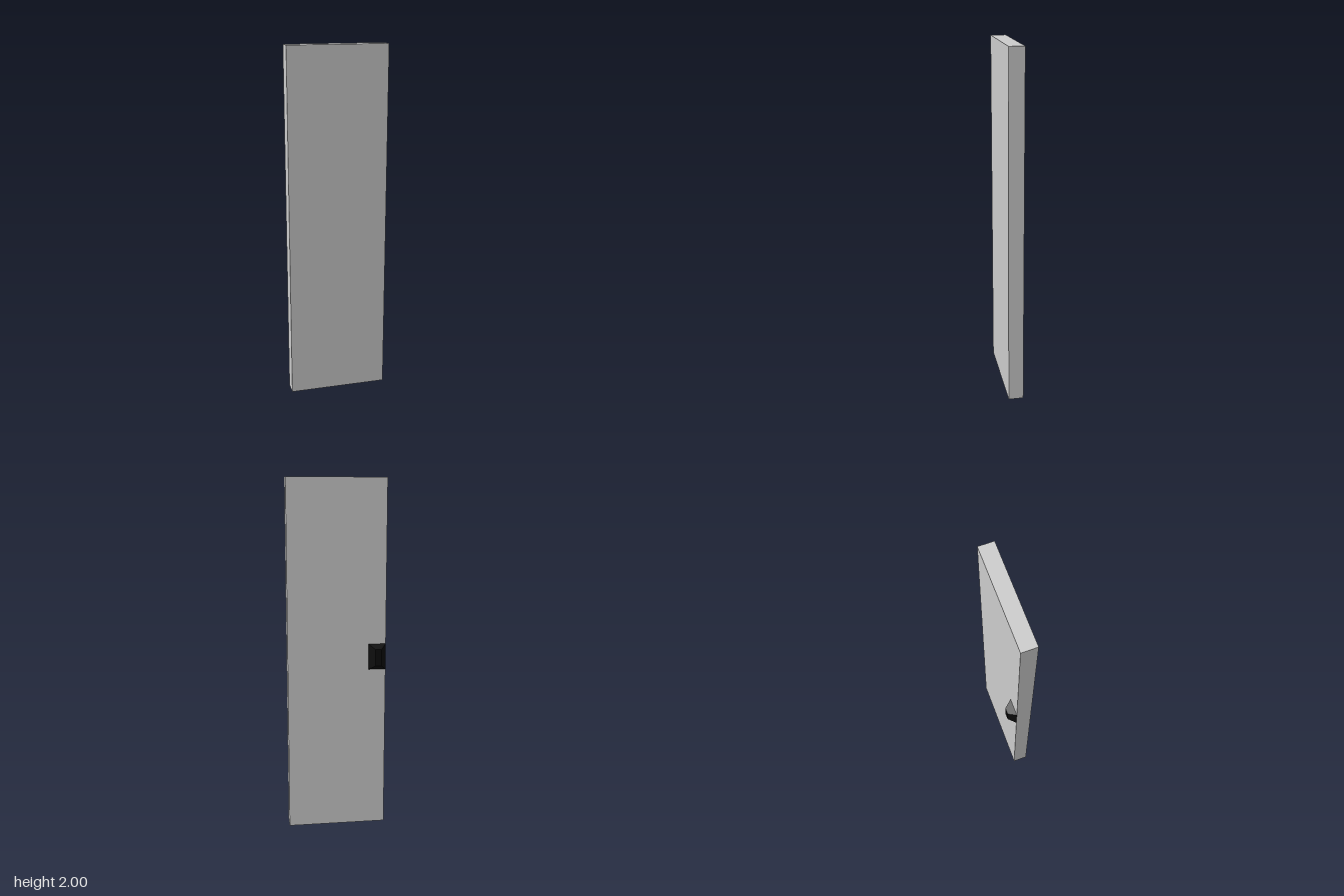
import * as THREE from 'three';

// Box whose back (-z) face is shrunk to a smaller rectangle
function taperedBlock(base, tip, zBase, zTip) {
  const geo = new THREE.BoxGeometry(1, 1, 1);
  const pos = geo.attributes.position;
  for (let i = 0; i < pos.count; i++) {
    const atTip = pos.getZ(i) < 0;
    const r = atTip ? tip : base;
    pos.setXYZ(
      i,
      pos.getX(i) < 0 ? r.x0 : r.x1,
      pos.getY(i) < 0 ? r.y0 : r.y1,
      atTip ? zTip : zBase
    );
  }
  geo.computeVertexNormals();
  return geo;
}

export function createModel() {
  const group = new THREE.Group();
  group.name = 'door';

  // Door panel
  const panel = new THREE.Mesh(
    new THREE.BoxGeometry(0.56, 2, 0.085),
    new THREE.MeshStandardMaterial({ color: 0xcccccc, flatShading: true })
  );
  panel.name = 'doorPanel';
  panel.position.set(0, 1, 0.0205);
  group.add(panel);

  // Tapered knob on the back, at the right edge
  const knob = new THREE.Mesh(
    taperedBlock(
      { x0: -0.28, x1: -0.181, y0: 0.928, y1: 1.075 },
      { x0: -0.249, x1: -0.213, y0: 0.954, y1: 1.05 },
      -0.022,
      -0.064
    ),
    new THREE.MeshStandardMaterial({ color: 0x0c0c0c, flatShading: true })
  );
  knob.name = 'doorKnob';
  group.add(knob);

  return group;
}
